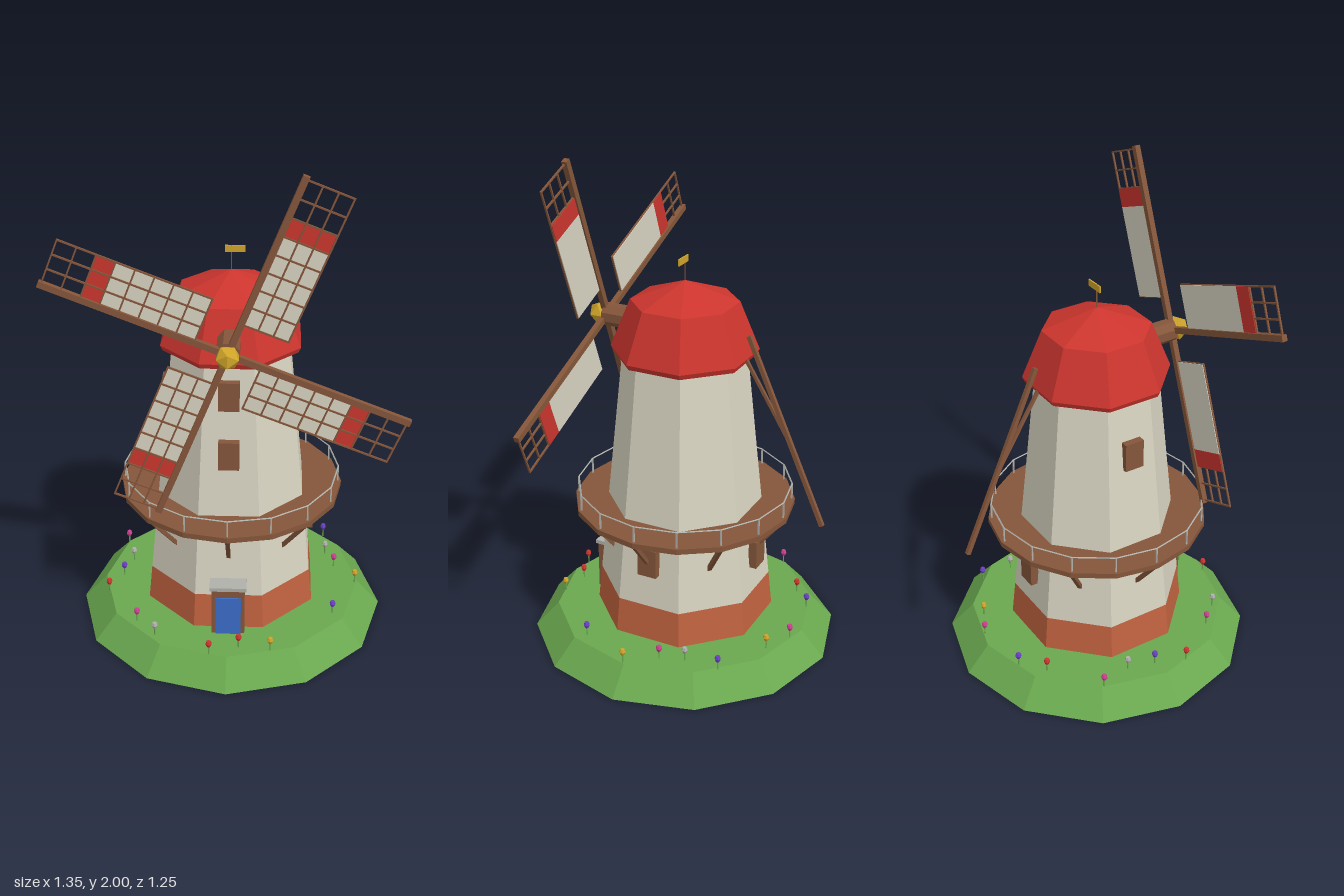
import * as THREE from 'three';

const mat = (name, color) => {
  const m = new THREE.MeshStandardMaterial({ color });
  m.name = name;
  return m;
};

export function createModel() {
  const M = {
    green: mat('grass green', 0x6aa84f),
    cream: mat('plaster cream', 0xd9d4c2),
    brick: mat('brick', 0xc0623f),
    brown: mat('wood brown', 0x85563a),
    red: mat('roof red', 0xcc352e),
    gold: mat('gold', 0xd0a52a),
    grey: mat('stone grey', 0xb0b0aa),
    blue: mat('door blue', 0x3a6cc8),
    purple: mat('petal purple', 0x6a40c4),
    pink: mat('petal pink', 0xcc4090),
  };
  const model = new THREE.Group();
  model.name = 'windmill';

  // Faceted mesh: every face gets its own normal
  const add = (parent, name, geo, material, x = 0, y = 0, z = 0) => {
    const flat = geo.index ? geo.toNonIndexed() : geo;
    flat.computeVertexNormals();
    const mesh = new THREE.Mesh(flat, material);
    mesh.name = name;
    mesh.position.set(x, y, z);
    parent.add(mesh);
    return mesh;
  };
  const box = (parent, name, w, h, d, material, x, y, z) =>
    add(parent, name, new THREE.BoxGeometry(w, h, d), material, x, y, z);
  // Square beam between two points
  const beam = (parent, name, a, b, t, material) => {
    const from = new THREE.Vector3(...a), to = new THREE.Vector3(...b);
    const dir = to.clone().sub(from);
    const mid = from.add(to).multiplyScalar(0.5);
    const m = box(parent, name, t, dir.length(), t, material, mid.x, mid.y, mid.z);
    m.quaternion.setFromUnitVectors(new THREE.Vector3(0, 1, 0), dir.normalize());
    return m;
  };
  // Octagonal band, sized by the distance to its flat sides
  const octagon = (name, y0, y1, a0, a1, material) => {
    const k = 1 / Math.cos(Math.PI / 8);
    return add(model, name, new THREE.CylinderGeometry(a1 * k, a0 * k, y1 - y0, 8, 1, false, Math.PI / 8),
      material, 0, (y0 + y1) / 2, 0);
  };

  // Mound
  const groundY = 0.105;
  add(model, 'mound', new THREE.CylinderGeometry(0.53, 0.625, groundY, 12), M.green, 0, groundY / 2, 0);

  // Tower and cap
  octagon('brickBase', groundY, 0.25, 0.335, 0.321, M.brick);
  octagon('tower', 0.25, 1.23, 0.321, 0.225, M.cream);
  octagon('capEave', 1.222, 1.243, 0.258, 0.267, M.red);
  octagon('capLower', 1.243, 1.435, 0.267, 0.195, M.red);
  octagon('capTop', 1.435, 1.515, 0.195, 0.0005, M.red);

  // Weather vane
  add(model, 'vanePole', new THREE.CylinderGeometry(0.003, 0.003, 0.11, 6), M.brown, 0, 1.555, 0);
  box(model, 'vaneFlag', 0.078, 0.026, 0.006, M.gold, 0.014, 1.597, 0);

  // Balcony deck, railing and braces
  const deckR = 0.445, railR = 0.432;
  add(model, 'balconyDeck', new THREE.CylinderGeometry(deckR, deckR, 0.022, 16), M.brown, 0, 0.588, 0);
  const rail = add(model, 'balconyRail', new THREE.TorusGeometry(railR, 0.0035, 4, 16), M.grey, 0, 0.665, 0);
  rail.rotation.x = Math.PI / 2;
  for (let i = 0; i < 16; i++) {
    const a = (i * Math.PI) / 8, s = Math.sin(a), c = Math.cos(a);
    box(model, 'railPost', 0.006, 0.068, 0.006, M.grey, railR * s, 0.632, railR * c);
    if (i % 2 === 0) {
      const brace = beam(model, 'balconyBrace', [0.43 * s, 0.58, 0.43 * c], [0.3 * s, 0.42, 0.3 * c], 0.016, M.brown);
      brace.rotateY(a);
    }
  }

  // Windows: [turn around the tower, height, distance]
  const windows = [
    [0, 1.103, 0.243], [0, 0.862, 0.268],
    [Math.PI / 2, 0.452, 0.317], [Math.PI, 0.42, 0.322], [-Math.PI / 2, 1.0, 0.254],
  ];
  for (const [a, y, r] of windows) {
    const w = box(model, 'window', 0.08, 0.118, 0.034, M.brown, r * Math.sin(a), y, r * Math.cos(a));
    w.rotation.y = a;
  }

  // Door
  box(model, 'doorFrame', 0.13, 0.205, 0.06, M.brown, 0, groundY + 0.1025, 0.347);
  box(model, 'doorPanel', 0.1, 0.17, 0.008, M.blue, 0.001, groundY + 0.085, 0.379);
  box(model, 'doorLintel', 0.145, 0.016, 0.07, M.grey, 0, 0.317, 0.349);

  // Windshaft and hub
  const hubY = 1.323, sailZ = 0.345;
  const shaft = add(model, 'windshaft', new THREE.CylinderGeometry(0.046, 0.046, 0.15, 8, 1, false, Math.PI / 8),
    M.brown, 0, hubY, 0.272);
  shaft.rotation.x = Math.PI / 2;
  add(model, 'hub', new THREE.IcosahedronGeometry(0.048, 0), M.gold, 0, hubY, 0.372);

  // Four sails: arm, lattice of 3 by 8 cells, cloth behind the lattice
  const rotor = new THREE.Group();
  rotor.name = 'sails';
  rotor.position.set(0, hubY, sailZ);
  model.add(rotor);
  const u0 = 0.13, rows = 8, cell = 0.0725, width = 0.176, v0 = 0.006, midV = v0 + width / 2;
  for (let k = 0; k < 4; k++) {
    const sail = new THREE.Group();
    sail.name = 'sail';
    sail.rotation.z = -THREE.MathUtils.degToRad(21.7 + 90 * k);
    rotor.add(sail);
    box(sail, 'sailArm', 0.024, 0.722, 0.022, M.brown, 0, 0.361, 0);
    for (let i = 0; i <= rows; i++)
      box(sail, 'crossBar', width, 0.006, 0.007, M.brown, midV, u0 + i * cell, 0.002);
    for (let i = 0; i <= 3; i++)
      box(sail, 'longBar', 0.006, rows * cell + 0.006, 0.007, M.brown,
        v0 + (i * width) / 3, u0 + (rows * cell) / 2, 0.002);
    box(sail, 'sailCloth', width, 5 * cell, 0.004, M.cream, midV, u0 + 2.5 * cell, -0.002);
    box(sail, 'sailStripe', width, cell, 0.004, M.red, midV, u0 + 5.5 * cell, -0.002);
  }

  // Tail pole and its stay behind the cap
  beam(model, 'tailPole', [0, 1.335, -0.27], [0, 0.603, -0.594], 0.017, M.brown);
  beam(model, 'tailStay', [0, 1.245, -0.255], [0, 0.95, -0.436], 0.012, M.brown);

  // Flowers, grouped by petal colour as [x, z]
  const flowers = {
    purple: [[-0.17, -0.48], [0.395, -0.34], [-0.455, -0.01], [0.42, 0.23]],
    pink: [[0.07, -0.505], [-0.46, -0.255], [0.435, -0.105], [-0.37, 0.31]],
    gold: [[0.18, -0.45], [0.52, 0.01], [0.17, 0.48]],
    red: [[-0.26, -0.4], [-0.505, 0.11], [-0.07, 0.51], [0.045, 0.465]],
    grey: [[0.4, -0.2], [-0.425, -0.12], [-0.29, 0.4]],
  };
  for (const [colour, spots] of Object.entries(flowers)) {
    for (const [x, z] of spots) {
      add(model, 'flowerStem', new THREE.CylinderGeometry(0.003, 0.003, 0.04, 5), M.green, x, groundY + 0.018, z);
      add(model, 'flowerHead', new THREE.CylinderGeometry(0.009, 0.013, 0.012, 6), M[colour], x, 0.158, z);
      add(model, 'flowerCup', new THREE.CylinderGeometry(0.013, 0.006, 0.014, 6), M[colour], x, 0.145, z);
    }
  }
  return model;
}
